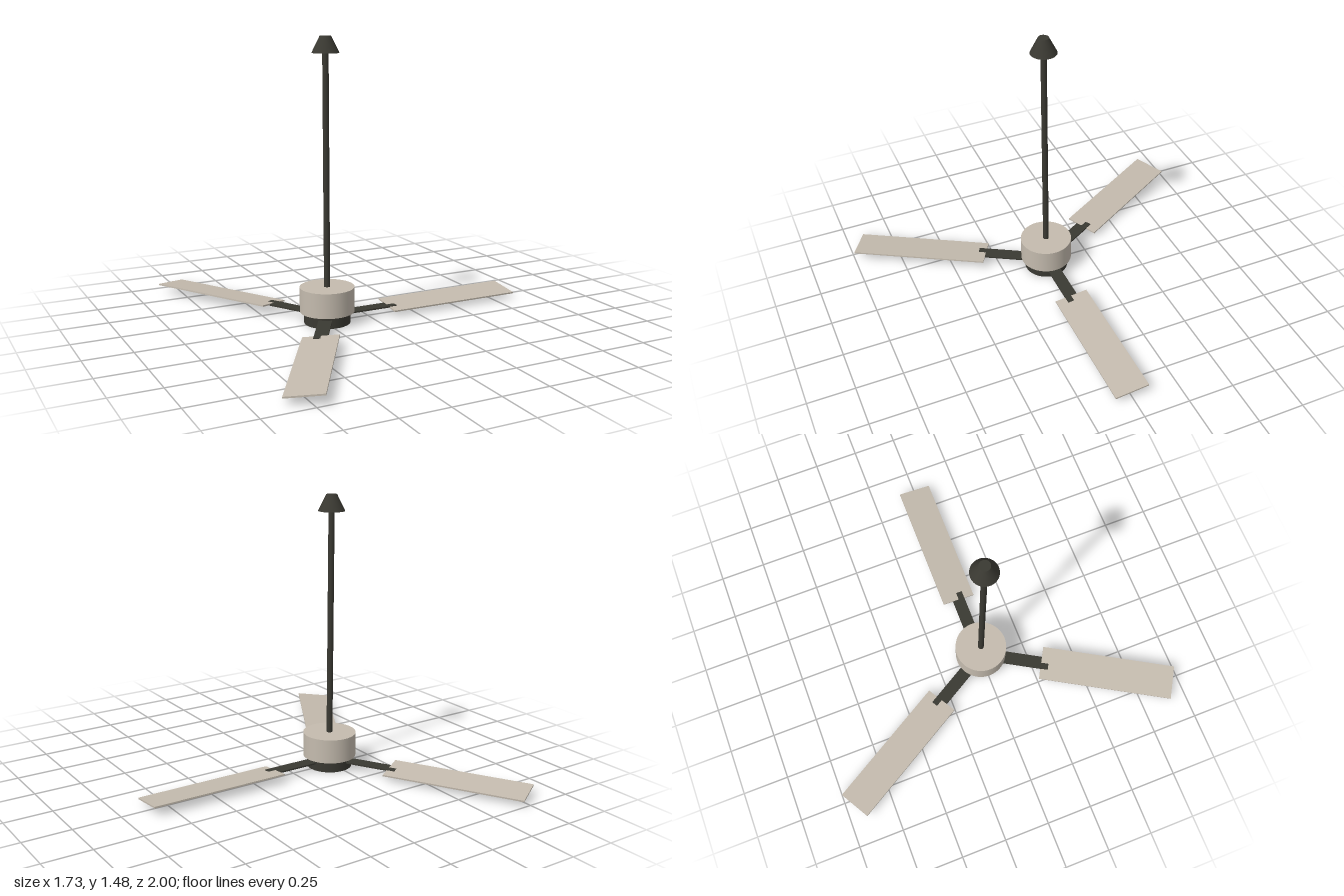
import * as THREE from 'three';

export function createModel() {
  const fan = new THREE.Group();
  fan.name = 'ceilingFan';

  const dark = new THREE.MeshStandardMaterial({ color: 0x3a3932 });
  dark.name = 'dark bronze';
  const beige = new THREE.MeshStandardMaterial({ color: 0xc4bbae });
  beige.name = 'warm beige';

  const add = (parent, name, geometry, material, x = 0, y = 0, z = 0) => {
    const mesh = new THREE.Mesh(geometry, material);
    mesh.name = name;
    mesh.position.set(x, y, z);
    parent.add(mesh);
    return mesh;
  };
  // Upright cylinder or cone spanning y0..y1
  const drum = (name, rTop, rBottom, y0, y1, material) =>
    add(fan, name, new THREE.CylinderGeometry(rTop, rBottom, y1 - y0, 48), material, 0, (y0 + y1) / 2);

  // Ceiling canopy, rod and motor
  drum('canopy', 0.028, 0.07, 1.39, 1.475, dark);
  drum('downRod', 0.016, 0.016, 0.18, 1.4, dark);
  drum('motorHousing', 0.142, 0.142, 0.06, 0.19, beige);
  drum('lowerHub', 0.12, 0.12, 0, 0.06, dark);

  // Three pitched blades, each on a flat arm
  for (let i = 0; i < 3; i++) {
    const unit = new THREE.Group();
    unit.name = 'bladeUnit' + (i + 1);
    unit.rotation.y = (i * Math.PI * 2) / 3;
    add(unit, 'bladeArm', new THREE.BoxGeometry(0.32, 0.008, 0.07), dark, 0.232, 0.04);
    const blade = add(unit, 'blade', new THREE.BoxGeometry(0.75, 0.008, 0.185), beige, 0.725, 0.04);
    blade.rotation.x = 0.1;
    fan.add(unit);
  }

  // Shift so the blade span is centred
  fan.children.forEach((part) => { part.position.x -= 0.236; });
  return fan;
}
